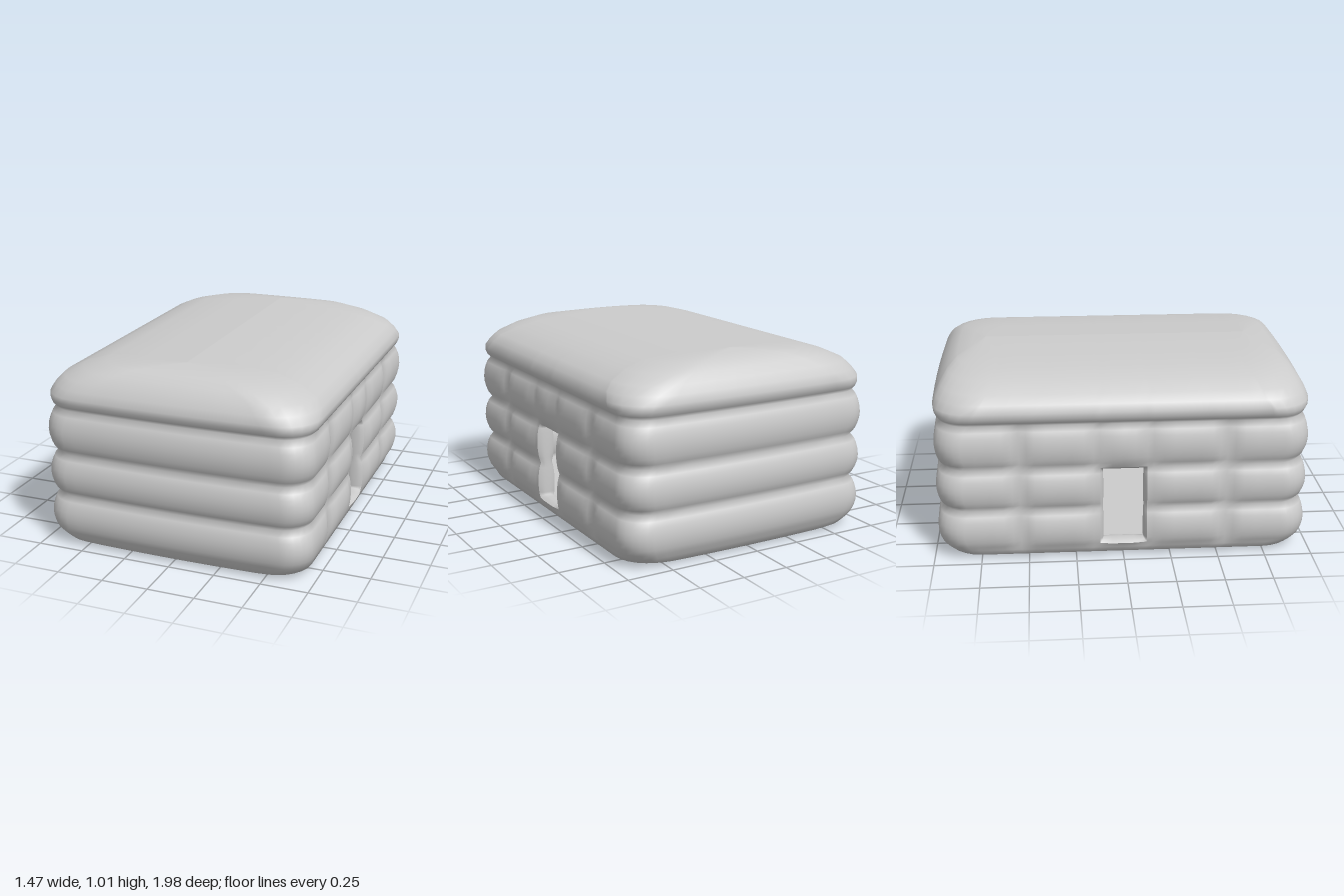
import * as THREE from 'three';

const material = new THREE.MeshStandardMaterial({ color: 0xcccccc });
const STEPS = 8;                          // rows per inflated tier
const TIERS = [0.05, 0.28, 0.51, 0.755];  // heights of the creases
const DOOR = 0.125;                       // half width of the doorway
const DOOR_ROWS = [1, 2 * STEPS];         // body rows where the doorway starts and ends

// stations along a side wall and along an end wall
const halfZ = [0.06, DOOR, 0.16, 0.21, 0.27, 0.34, 0.41, 0.47, 0.51, 0.55, 0.59, 0.64, 0.71, 0.78];
const sideZ = [...halfZ.map(z => -z).reverse(), 0, ...halfZ];
const endX = [0.9, 0.7, 0.5, 0.25, 0, -0.25, -0.5, -0.7, -0.9];
const doorCols = [sideZ.indexOf(-DOOR), sideZ.indexOf(DOOR)];

const gauss = (d, w) => Math.exp(-((d / w) ** 2));
const seam = z => gauss(Math.abs(z) - 0.55, 0.045) + 0.7 * gauss(Math.abs(z) - 0.14, 0.04);

// one horizontal rounded-rectangle loop; pinch pulls in the vertical seams of the side walls
function ring({ y, a, b, r, pinch = 0 }) {
  const half = [];
  const scale = Math.min(1, (b - r) / 0.8);
  const put = (x, z) => half.push([x, z * (1 - (a > 0 ? 0.02 * (x / a) ** 2 : 0))]);
  for (const z of sideZ) put(a - pinch * seam(z), z * scale);
  for (let k = 0; k <= 6; k++) {
    const t = k / 6 * Math.PI / 2;
    put(a - r + r * Math.cos(t), b - r + r * Math.sin(t));
  }
  for (const f of endX) put(f * (a - r), b);
  for (let k = 0; k <= 6; k++) {
    const t = (1 + k / 6) * Math.PI / 2;
    put(-(a - r) + r * Math.cos(t), b - r + r * Math.sin(t));
  }
  return [...half, ...half.map(([x, z]) => [-x, -z])].map(([x, z]) => new THREE.Vector3(x, y, z));
}

// skin a stack of closed loops, leaving out the quads that skip() names
function skin(name, rings, flip = false, skip = () => false) {
  const n = rings[0].length, index = [];
  for (let i = 0; i < rings.length - 1; i++) {
    for (let j = 0; j < n; j++) {
      if (skip(i, j)) continue;
      const p = i * n + j, q = i * n + (j + 1) % n, u = p + n, v = q + n;
      if (flip) index.push(p, q, u, q, v, u);
      else index.push(p, u, q, q, u, v);
    }
  }
  const geometry = new THREE.BufferGeometry().setFromPoints(rings.flat());
  geometry.setIndex(index);
  geometry.computeVertexNormals();
  const mesh = new THREE.Mesh(geometry, material);
  mesh.name = name;
  return mesh;
}

// three pillow-like tiers; depth is the crease depth, negative for the inside
function bodyRows(a, b, r, depth) {
  const rows = [];
  for (let i = 0; i <= 3 * STEPS; i++) {
    const tier = Math.min(2, Math.floor(i / STEPS)), t = i / STEPS - tier;
    const puff = Math.pow(Math.max(0, Math.sin(Math.PI * t)), 0.7);
    const inset = depth * (1 - puff);
    rows.push({
      y: THREE.MathUtils.lerp(TIERS[tier], TIERS[tier + 1], t),
      a: a - inset, b: b - inset, r, pinch: depth * puff * 0.8,
    });
  }
  return rows;
}

const row = ([y, a, b, r]) => ({ y, a, b, r });

export function createModel() {
  const group = new THREE.Group();
  group.name = 'inflatableShelter';

  // base, tiers and roof of the outside
  const base = [[0, 0, 0.3, 0], [0, 0.6, 0.87, 0.2], [0.004, 0.645, 0.915, 0.2], [0.022, 0.688, 0.943, 0.18]];
  const roof = [
    [0.775, 0.718, 0.972, 0.16], [0.8, 0.73, 0.986, 0.18], [0.83, 0.735, 0.99, 0.2],
    [0.87, 0.717, 0.975, 0.22], [0.912, 0.678, 0.95, 0.22], [0.955, 0.585, 0.915, 0.22],
    [0.988, 0.46, 0.865, 0.2], [1.004, 0.25, 0.79, 0.12], [1.015, 0, 0.72, 0],
  ];
  const outer = [...base.map(row), ...bodyRows(0.732, 0.992, 0.14, 0.036), ...roof.map(row)].map(ring);

  // floor, walls and ceiling of the room
  const floor = [[0.045, 0, 0.3, 0], [0.045, 0.5, 0.76, 0.1], [0.045, 0.57, 0.83, 0.1], [0.047, 0.61, 0.87, 0.1]];
  const ceiling = [[0.82, 0.6, 0.86, 0.1], [0.87, 0.53, 0.8, 0.1], [0.89, 0.4, 0.7, 0.1], [0.9, 0, 0.5, 0]];
  const inner = [...floor.map(row), ...bodyRows(0.605, 0.865, 0.1, -0.025), ...ceiling.map(row)].map(ring);

  const halfLoop = outer[0].length / 2;
  const [r0, r1] = DOOR_ROWS.map(i => i + base.length);
  const [c0, c1] = doorCols;
  const isDoor = (i, j) => i >= r0 && i < r1 && j % halfLoop >= c0 && j % halfLoop < c1;
  group.add(skin('outerShell', outer, false, isDoor));
  group.add(skin('innerLining', inner, true, isDoor));

  // rounded jambs that join the two shells around each doorway
  const edge = [];
  for (let c = c0; c < c1; c++) edge.push([r0, c]);
  for (let r = r0; r < r1; r++) edge.push([r, c1]);
  for (let c = c1; c > c0; c--) edge.push([r1, c]);
  for (let r = r1; r > r0; r--) edge.push([r, c0]);
  ['leftDoorJamb', 'rightDoorJamb'].forEach((name, side) => {
    const loops = [];
    for (let k = 0; k <= 6; k++) {
      const bulge = 0.015 * Math.sqrt(Math.max(0, Math.sin(Math.PI * k / 6)));
      loops.push(edge.map(([r, c]) => {
        const j = c + side * halfLoop;
        const p = outer[r][j].clone().lerp(inner[r][j], k / 6);
        if (c === c0 || c === c1) p.z -= Math.sign(p.z) * bulge;
        if (r === r0) p.y += bulge;
        if (r === r1) p.y -= bulge;
        return p;
      }));
    }
    group.add(skin(name, loops));
  });
  return group;
}
